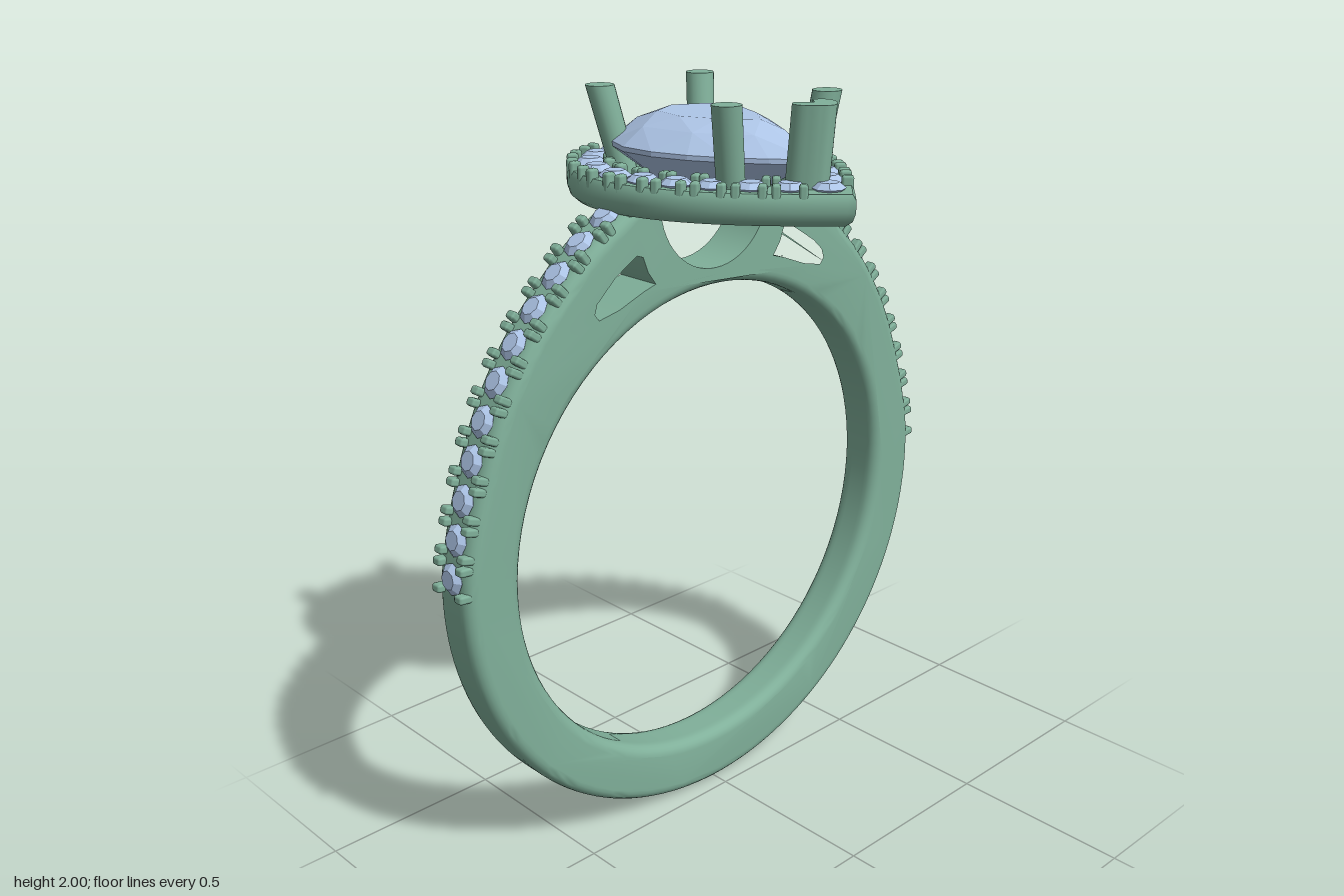
import * as THREE from 'three';
import { mergeGeometries, toCreasedNormals } from 'three/addons/utils/BufferGeometryUtils.js';
import { RoundedBoxGeometry } from 'three/addons/geometries/RoundedBoxGeometry.js';
import { ConvexGeometry } from 'three/addons/geometries/ConvexGeometry.js';

const metal = new THREE.MeshStandardMaterial({ color: 0x80b09a });
const gem = new THREE.MeshStandardMaterial({ color: 0xaec6e8, flatShading: true });
const V2 = (x, y) => new THREE.Vector2(x, y);
const V3 = (x, y, z) => new THREE.Vector3(x, y, z);
const BAND_Z = -0.1, HALF = 0.067, CENTRE_Y = 0.83, INNER_R = 0.665;

function add(group, name, geometry, material) {
  const mesh = new THREE.Mesh(geometry, material);
  mesh.name = name;
  group.add(mesh);
}

// Right-hand shoulder line, from the side of the band up to the head
const shoulder = new THREE.SplineCurve([
  V2(0.825, 0.86), V2(0.815, 0.95), V2(0.772, 1.11), V2(0.698, 1.3),
  V2(0.593, 1.466), V2(0.455, 1.61), V2(0.376, 1.675), V2(0.27, 1.74)]);

function arc(cx, cy, r, from, to, n) {
  return Array.from({ length: n + 1 }, (_, i) => {
    const a = from + (to - from) * i / n;
    return V2(cx + r * Math.cos(a), cy + r * Math.sin(a));
  });
}

// Band: outline with finger hole, crescent under the gem and two windows
function bandGeometry() {
  const side = shoulder.getSpacedPoints(40);
  const mirrored = side.map(p => V2(-p.x, p.y));
  const shape = new THREE.Shape([
    ...side.slice().reverse(),
    ...arc(0, CENTRE_Y, 0.826, 0, -Math.PI, 72),
    ...mirrored,
    ...arc(0, 1.735, 0.19, Math.PI, 2 * Math.PI, 28)]);
  shape.holes.push(new THREE.Path(arc(0, CENTRE_Y, INNER_R, 0, 2 * Math.PI, 96).slice(0, -1)));
  const window = [[0.21, 1.54], [0.235, 1.575], [0.25, 1.615], [0.27, 1.622], [0.34, 1.58],
    [0.4, 1.525], [0.408, 1.5], [0.395, 1.483], [0.33, 1.497], [0.25, 1.528]];
  for (const s of [1, -1]) shape.holes.push(new THREE.Path(window.map(([x, y]) => V2(s * x, y))));

  const geo = new THREE.ExtrudeGeometry(shape, { depth: 2 * HALF, steps: 16, bevelEnabled: false });
  geo.translate(0, 0, -HALF);
  // Round the finger hole and the outer rim; windows and crescent stay sharp
  const pos = geo.attributes.position, b = 0.032;
  for (let i = 0; i < pos.count; i++) {
    const x = pos.getX(i), y = pos.getY(i), ax = Math.abs(x);
    const z = HALF * Math.sin(Math.PI / 2 * pos.getZ(i) / HALF);
    const over = Math.min(b, Math.max(0, Math.abs(z) - HALF + b));
    const inset = b - Math.sqrt(Math.max(0, b * b - over * over));
    const r = Math.hypot(x, y - CENTRE_Y);
    const inWindow = ax < 0.42 && y > 1.4 && y < 1.64;
    const inCrescent = ax < 0.195 && y > 1.5;
    let k = 1;
    if (r < 0.68) k = (r + inset) / r;
    else if (!inWindow && !inCrescent) k = (r - inset) / r;
    pos.setXYZ(i, x * k, CENTRE_Y + (y - CENTRE_Y) * k, z);
  }
  geo.translate(0, 0, BAND_Z);
  return toCreasedNormals(geo, 0.6);
}

// Pear outline in (x, z), starting at the point
const PEAR_Z = -0.115;
function pear(w, tip) {
  const p = new THREE.Path();
  p.moveTo(0, tip);
  p.bezierCurveTo(w * 0.45, tip - w * 0.42, w, PEAR_Z + w * 0.75, w, PEAR_Z);
  p.absarc(0, PEAR_Z, w, 0, -Math.PI, true);
  p.bezierCurveTo(-w, PEAR_Z + w * 0.75, -w * 0.45, tip - w * 0.42, 0, tip);
  return p;
}
const haloPear = d => pear(0.325 - d, 0.435 - 1.4 * d);

// Halo body: a closed profile (inset, height) carried round the pear
function haloGeometry() {
  const profile = [[0.125, 1.735], [0.115, 1.725], [0.045, 1.72], [0.022, 1.725], [0.007, 1.738],
    [0, 1.76], [0, 1.79], [0.008, 1.803], [0.117, 1.803], [0.125, 1.79]];
  const n = 120, m = profile.length, verts = [], index = [];
  for (const [d, y] of profile)
    for (const p of haloPear(d).getSpacedPoints(n).slice(0, n)) verts.push(p.x, y, p.y);
  for (let k = 0; k < m; k++)
    for (let i = 0; i < n; i++) {
      const k2 = (k + 1) % m, i2 = (i + 1) % n;
      const a = k * n + i, b = k * n + i2, c = k2 * n + i2, d = k2 * n + i;
      index.push(a, b, c, a, c, d);
    }
  const geo = new THREE.BufferGeometry();
  geo.setAttribute('position', new THREE.Float32BufferAttribute(verts, 3));
  geo.setIndex(index);
  return toCreasedNormals(geo, 0.7);
}

// Row of small stones, each with split claws on both sides
function pave(group, name, seats, pitch, offset) {
  const stone = mergeGeometries([
    new THREE.CylinderGeometry(0.025, 0.042, 0.014, 8).translate(0, 0.009, 0),
    new THREE.CylinderGeometry(0.042, 0.01, 0.03, 8).translate(0, -0.013, 0)]);
  const claw = new RoundedBoxGeometry(0.022, 0.05, 0.03, 1, 0.007);
  const stones = [], claws = [];
  for (const { p, t, n, bare } of seats) {
    const frame = new THREE.Matrix4().makeBasis(t, n, t.clone().cross(n)).setPosition(p);
    stones.push(stone.clone().applyMatrix4(frame));
    if (bare) continue;
    for (const sx of [1, -1]) for (const sz of [1, -1])
      claws.push(claw.clone().translate(sx * (pitch / 2 - 0.014), -0.005, sz * offset).applyMatrix4(frame));
  }
  add(group, name + 'Stones', mergeGeometries(stones), gem);
  add(group, name + 'Claws', mergeGeometries(claws), metal);
}

// Centre gem: convex hull of faceted pear rings down to the culet
function centreGem() {
  const cz = -0.06, pts = [V3(0, 1.675, cz)];
  const ring = (scale, y, n, shift) => {
    const path = pear(0.212, 0.29);
    for (let i = 0; i < n; i++) {
      const p = path.getPointAt((i + shift) / n);
      pts.push(V3(p.x * scale, y, cz + (p.y - cz) * scale));
    }
  };
  ring(0.52, 1.94, 8, 0);
  ring(0.77, 1.912, 8, 0.5);
  ring(1, 1.866, 16, 0);
  ring(1, 1.854, 16, 0);
  ring(0.55, 1.772, 8, 0.5);
  return new ConvexGeometry(pts);
}

// Upright solid with its top at y = 2, leaning outward below a fixed top position
function lean(geo, x, z, sx, sz) {
  return geo.applyMatrix4(new THREE.Matrix4().makeShear(0, 0, sx, sz, 0, 0)).translate(x, 2, z);
}

export function createModel() {
  const ring = new THREE.Group();
  ring.name = 'ring';

  add(ring, 'band', bandGeometry(), metal);
  add(ring, 'halo', haloGeometry(), metal);
  add(ring, 'centreGem', centreGem(), gem);

  // Shoulder stones
  const count = 11, pitch = shoulder.getLength() / count;
  for (const s of [1, -1]) {
    const seats = [];
    for (let i = 0; i < count; i++) {
      const u = (i + 0.5) / count, p = shoulder.getPointAt(u), t = shoulder.getTangentAt(u);
      seats.push({ p: V3(s * p.x, p.y, BAND_Z), t: V3(s * t.x, t.y, 0), n: V3(s * t.y, -t.x, 0) });
    }
    pave(ring, s > 0 ? 'leftShoulder' : 'rightShoulder', seats, pitch, 0.046);
  }

  // Halo stones, the first one sitting in the point
  const line = haloPear(0.062), total = 21, seats = [];
  for (let i = 0; i < total; i++) {
    const p = line.getPointAt(i / total), t = line.getTangentAt(i / total);
    seats.push({
      p: V3(p.x, 1.806, p.y), t: i ? V3(t.x, 0, t.y) : V3(1, 0, 0), n: V3(0, 1, 0), bare: i === 0
    });
  }
  pave(ring, 'halo', seats, line.getLength() / total, 0.046);

  // Four round prongs
  for (const s of [1, -1])
    for (const [name, z, sz] of [['backProng', -0.275, -0.2], ['sideProng', 0.18, 0.1]]) {
      const post = new THREE.CylinderGeometry(0.037, 0.035, 0.25, 20).translate(0, -0.125, 0);
      add(ring, name, lean(post, s * 0.172, z, s * 0.17, sz), metal);
    }

  // V prong guarding the point
  const vee = new THREE.Shape();
  vee.moveTo(0, 0.015);
  vee.lineTo(-0.03, 0.05);
  vee.quadraticCurveTo(-0.07, 0.04, -0.055, 0);
  vee.quadraticCurveTo(-0.03, -0.04, 0, -0.045);
  vee.quadraticCurveTo(0.03, -0.04, 0.055, 0);
  vee.quadraticCurveTo(0.07, 0.04, 0.03, 0.05);
  vee.closePath();
  const post = new THREE.ExtrudeGeometry(vee, { depth: 0.25, bevelEnabled: false, curveSegments: 8 });
  post.rotateX(-Math.PI / 2).translate(0, -0.25, 0);
  add(ring, 'pointProng', toCreasedNormals(lean(post, 0, 0.312, 0, 0.1), 0.7), metal);

  return ring;
}
